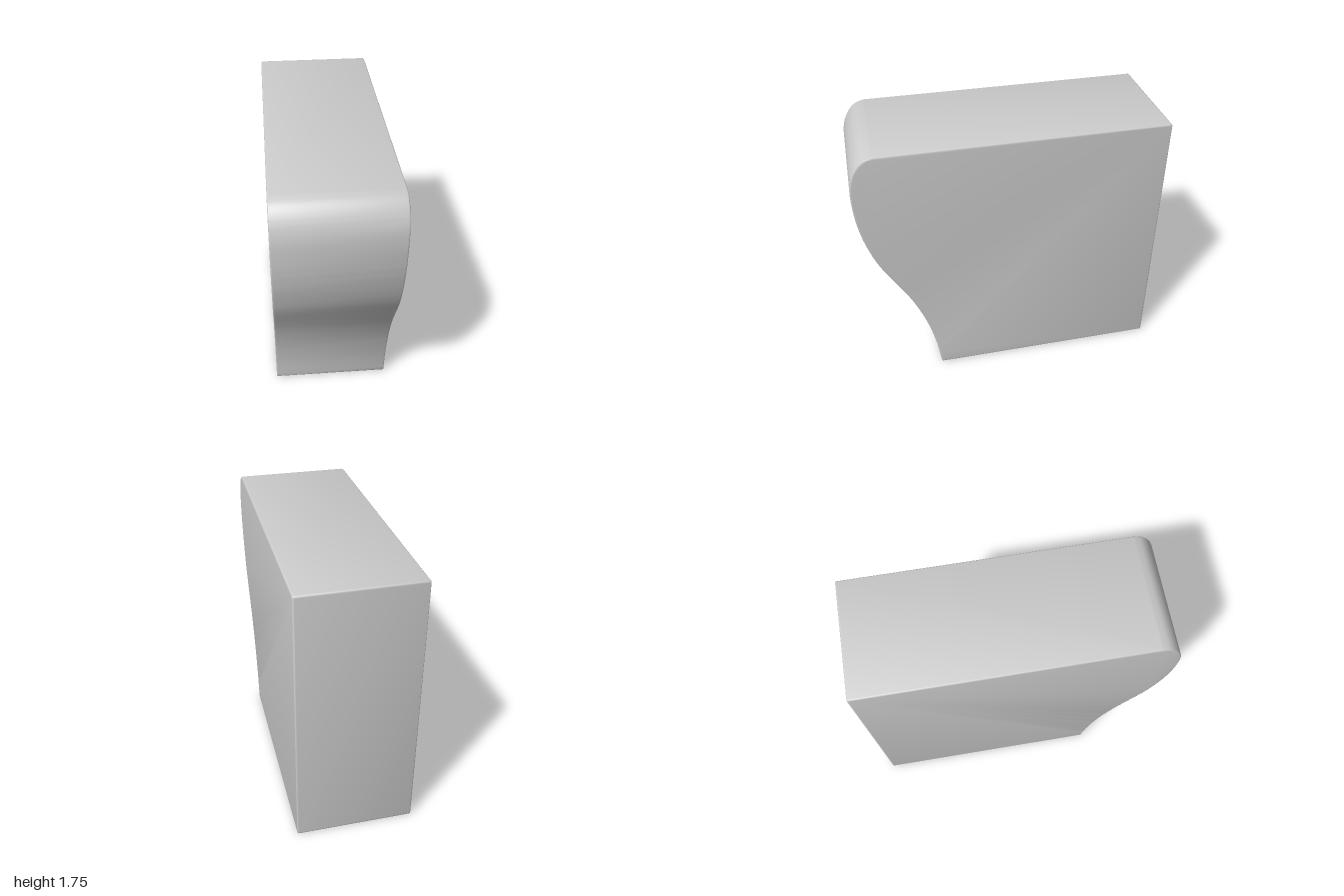
import * as THREE from 'three';
import { toCreasedNormals } from 'three/addons/utils/BufferGeometryUtils.js';

const WIDTH = 0.77, HEIGHT = 1.755, BEVEL = 0.01, CORNER = 0.014;

// Side outline: shape x runs towards the front, shape y runs up
function sideProfile() {
  const s = new THREE.Shape();
  s.moveTo(-1 + CORNER, 0);
  s.lineTo(0.51, 0);
  s.quadraticCurveTo(0.524, 0, 0.527, CORNER);
  // S-curved front, ending in the rounded top nose
  s.splineThru([
    [0.555, 0.2], [0.61, 0.41], [0.69, 0.61], [0.78, 0.775], [0.865, 0.92],
    [0.915, 1.03], [0.96, 1.17], [0.988, 1.31], [1, 1.45], [0.998, 1.55],
    [0.98, 1.63], [0.945, 1.695], [0.9, 1.737], [0.845, HEIGHT],
  ].map(([z, y]) => new THREE.Vector2(z, y)));
  // Slightly eased back corners
  s.lineTo(-1 + CORNER, HEIGHT);
  s.quadraticCurveTo(-1, HEIGHT, -1, HEIGHT - CORNER);
  s.lineTo(-1, CORNER);
  s.quadraticCurveTo(-1, 0, -1 + CORNER, 0);
  return s;
}

export function createModel() {
  const group = new THREE.Group();
  group.name = 'curvedBracket';

  // Outline extruded across the width, with softened side edges
  const depth = WIDTH - 2 * BEVEL;
  const geometry = new THREE.ExtrudeGeometry(sideProfile(), {
    depth, curveSegments: 4, bevelEnabled: true, bevelSegments: 3,
    bevelSize: BEVEL, bevelThickness: BEVEL, bevelOffset: -BEVEL,
  });
  geometry.translate(0, 0, -depth / 2);
  geometry.rotateY(-Math.PI / 2);

  const body = new THREE.Mesh(
    toCreasedNormals(geometry, 0.7),
    new THREE.MeshStandardMaterial({ color: 0xcccccc }),
  );
  body.name = 'bracketBody';
  group.add(body);
  return group;
}
